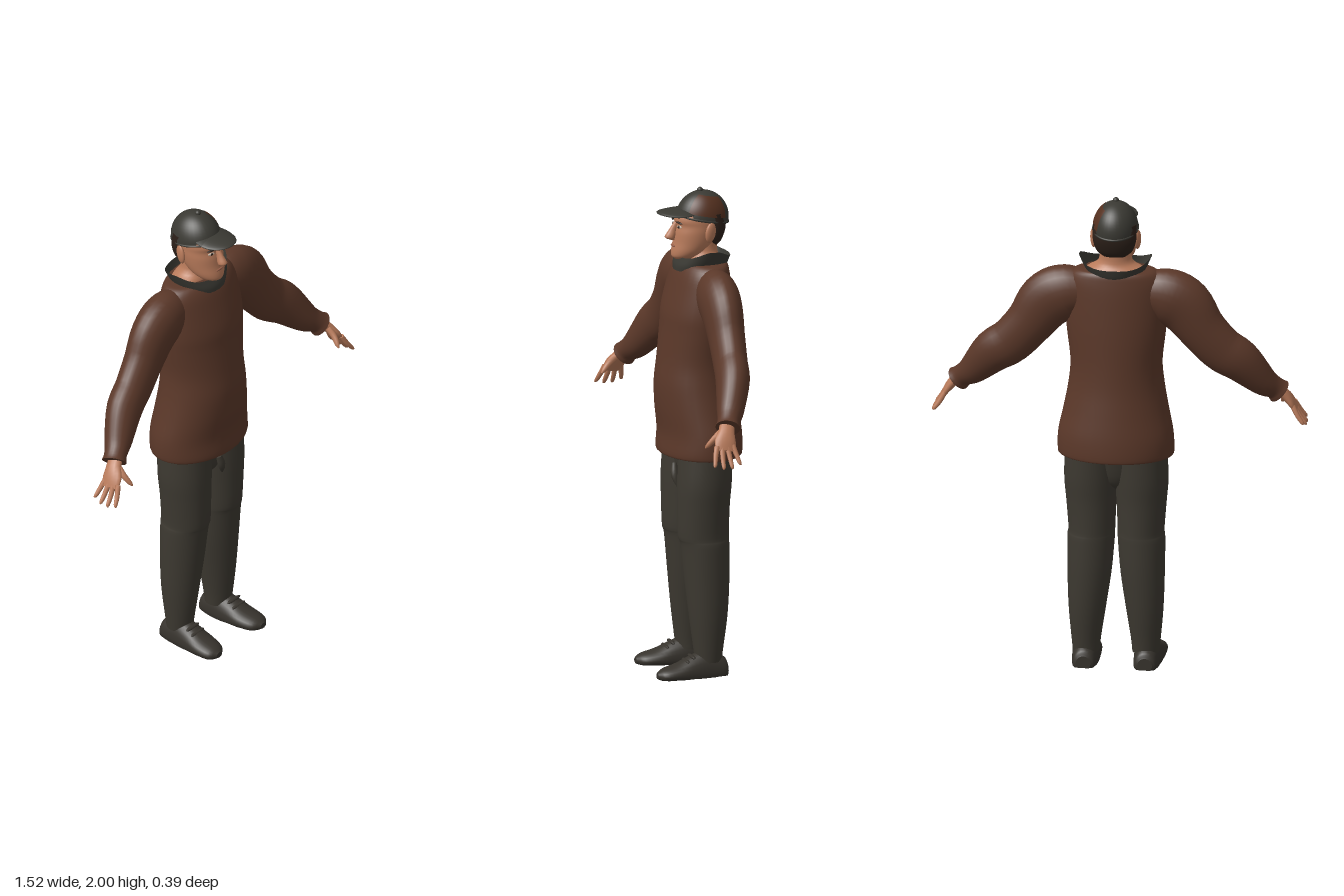
import * as THREE from 'three';

const mat = (name, color, side = THREE.FrontSide) => {
  const m = new THREE.MeshStandardMaterial({ color, side });
  m.name = name;
  return m;
};

// Smooth skin through rings [x, y, z, ru, rv]; dir fixes the ring plane, ref is the rv axis
function loft(rings, { dir = null, ref = [0, 0, 1], seg = 24, sub = 4, caps = true } = {}) {
  const centre = new THREE.CatmullRomCurve3(rings.map(r => new THREE.Vector3(r[0], r[1], r[2])), false, 'catmullrom');
  const radii = new THREE.CatmullRomCurve3(rings.map(r => new THREE.Vector3(r[3], r[4], 0)), false, 'catmullrom');
  const n = (rings.length - 1) * sub, pos = [], idx = [];
  for (let i = 0; i <= n; i++) {
    const c = centre.getPoint(i / n), r = radii.getPoint(i / n);
    const t = dir ? new THREE.Vector3(...dir) : centre.getTangent(i / n);
    const v = new THREE.Vector3(...ref);
    v.addScaledVector(t, -v.dot(t)).normalize();
    const u = new THREE.Vector3().crossVectors(t, v);
    for (let j = 0; j < seg; j++) {
      const a = j / seg * Math.PI * 2;
      const p = c.clone().addScaledVector(u, r.x * Math.cos(a)).addScaledVector(v, r.y * Math.sin(a));
      pos.push(p.x, p.y, p.z);
      if (i < n) {
        const k = i * seg, j2 = (j + 1) % seg;
        idx.push(k + j, k + seg + j, k + j2, k + seg + j, k + seg + j2, k + j2);
      }
    }
  }
  if (caps) for (const end of [0, 1]) {
    const base = pos.length / 3, c = centre.getPoint(end);
    for (let j = 0; j < seg; j++) {
      const q = (end * n * seg + j) * 3;
      pos.push(pos[q], pos[q + 1], pos[q + 2]);
    }
    pos.push(c.x, c.y, c.z);
    for (let j = 0; j < seg; j++) {
      const a = base + j, b = base + (j + 1) % seg;
      idx.push(base + seg, end ? b : a, end ? a : b);
    }
  }
  const g = new THREE.BufferGeometry();
  g.setAttribute('position', new THREE.Float32BufferAttribute(pos, 3));
  g.setIndex(idx);
  g.computeVertexNormals();
  return g;
}

// Upright body from rows [y, half width, front z, back z]
const upright = (rows, opt = {}) => loft(
  rows.map(([y, w, f, b]) => [0, y, (f + b) / 2, w, (f - b) / 2]), { dir: [0, 1, 0], seg: 32, ...opt });

function reshape(g, rule) {
  const p = g.attributes.position, v = new THREE.Vector3();
  for (let i = 0; i < p.count; i++) {
    rule(v.fromBufferAttribute(p, i));
    p.setXYZ(i, v.x, v.y, v.z);
  }
  g.computeVertexNormals();
  return g;
}

export function createModel() {
  const group = new THREE.Group();
  const coat = mat('brown wool', 0x5b3829);
  const trouser = mat('dark trouser cloth', 0x3d3931);
  const leather = mat('dark leather', 0x37332d);
  const skin = mat('skin', 0xb97b5b);
  const dark = mat('cap cloth', 0x3a3933, THREE.DoubleSide);
  const panel = mat('cap side brown', 0x54301f);
  const hairMat = mat('hair', 0x2c2019);
  const lipMat = mat('lips', 0x99604a);
  const white = mat('eye white', 0xc9b9a8);

  const add = (name, geo, material, p = [0, 0, 0], s = [1, 1, 1], r = [0, 0, 0]) => {
    const m = new THREE.Mesh(geo, material);
    m.name = name;
    m.position.set(...p);
    m.scale.set(...s);
    m.rotation.set(...r);
    group.add(m);
    return m;
  };
  const ball = new THREE.SphereGeometry(1, 20, 14);

  // Sweater body with a slightly recessed hem
  add('sweaterBody', upright([
    [0.93, 0.205, 0.11, -0.155], [0.908, 0.228, 0.135, -0.185], [0.925, 0.237, 0.142, -0.193],
    [1.0, 0.234, 0.138, -0.19], [1.1, 0.213, 0.15, -0.178], [1.2, 0.195, 0.154, -0.166],
    [1.3, 0.187, 0.143, -0.16], [1.42, 0.2, 0.13, -0.156], [1.5, 0.207, 0.122, -0.152],
    [1.6, 0.205, 0.095, -0.145], [1.66, 0.195, 0.075, -0.138], [1.695, 0.165, 0.055, -0.13],
    [1.703, 0.11, 0.04, -0.11],
  ]), coat);

  // Standing collar, pulled up at both sides
  add('collar', reshape(upright([
    [1.665, 0.11, 0.08, -0.125], [1.69, 0.128, 0.078, -0.138], [1.722, 0.148, 0.066, -0.148],
  ], { caps: false }), v => { v.y += 0.036 * Math.min(1, Math.abs(v.x) / 0.145) ** 4; }), dark);

  // Trouser seat and fly
  add('trouserSeat', upright([[0.75, 0.03, 0.01, -0.04], [0.8, 0.09, 0.06, -0.09], [0.93, 0.12, 0.08, -0.12]]), trouser);
  add('fly', loft([[0.03, 0.765, 0.07, 0.004, 0.006], [0.015, 0.81, 0.082, 0.016, 0.015],
    [0, 0.86, 0.08, 0.012, 0.012]], { seg: 10 }), trouser);

  for (const [side, s] of [['left', 1], ['right', -1]]) {
    // Sleeve with a flared cuff
    add(side + 'Sleeve', loft([
      [0.13, 1.6, -0.035, 0.09, 0.07], [0.21, 1.588, -0.033, 0.114, 0.083], [0.28, 1.545, -0.03, 0.117, 0.08],
      [0.35, 1.45, -0.026, 0.099, 0.072], [0.425, 1.365, -0.016, 0.094, 0.068], [0.5, 1.31, 0, 0.088, 0.068],
      [0.585, 1.217, 0.038, 0.062, 0.056], [0.632, 1.18, 0.062, 0.046, 0.046], [0.652, 1.16, 0.072, 0.052, 0.05],
    ].map(([x, ...q]) => [x * s, ...q])), coat);

    // Hand: palm, four fingers and thumb
    const limb = (name, rows, seg) => add(side + name, loft(rows.map(([x, ...q]) => [x * s, ...q]), { seg, sub: 3 }), skin);
    limb('Palm', [[0.635, 1.18, 0.07, 0.02, 0.03], [0.668, 1.15, 0.083, 0.021, 0.033],
      [0.695, 1.115, 0.097, 0.017, 0.044], [0.716, 1.08, 0.102, 0.01, 0.04]], 16);
    for (let k = 0; k < 4; k++) {
      const z = 0.07 + k * 0.022, spread = (k - 1.3) * 0.008, len = [0.85, 1, 1, 0.88][k];
      limb('Finger' + (k + 1), [[0.706, 1.1, z, 0.011, 0.012], [0.706 + 0.025 * len, 1.1 - 0.045 * len, z + spread, 0.01, 0.01],
        [0.706 + 0.047 * len, 1.1 - 0.075 * len, z + spread * 1.6, 0.008, 0.008],
        [0.706 + 0.054 * len, 1.1 - 0.084 * len, z + spread * 2, 0.003, 0.003]], 8);
    }
    limb('Thumb', [[0.662, 1.15, 0.1, 0.013, 0.016], [0.664, 1.122, 0.132, 0.012, 0.014],
      [0.656, 1.095, 0.157, 0.009, 0.01], [0.652, 1.083, 0.168, 0.003, 0.003]], 10);

    // Trouser leg rows: y, outer x, inner x, front z, back z
    add(side + 'TrouserLeg', loft([
      [0.06, 0.176, 0.066, 0.03, -0.078], [0.12, 0.182, 0.06, 0.038, -0.086], [0.25, 0.193, 0.04, 0.054, -0.104],
      [0.4, 0.198, 0.018, 0.07, -0.114], [0.54, 0.199, 0.006, 0.084, -0.115], [0.58, 0.195, 0.005, 0.094, -0.114],
      [0.7, 0.204, 0.0, 0.097, -0.117], [0.8, 0.212, -0.006, 0.097, -0.125], [0.93, 0.208, -0.01, 0.09, -0.13],
    ].map(([y, o, i, f, b]) => [s * (o + i) / 2, y, (f + b) / 2, (o - i) / 2, (f - b) / 2]), { dir: [0, 1, 0] }), trouser);

    // Shoe, flattened on the ground
    add(side + 'Shoe', reshape(loft([
      [0.125, 0.02, -0.1, 0.03, 0.03], [0.125, 0.02, -0.085, 0.046, 0.055], [0.125, 0.02, -0.02, 0.054, 0.085],
      [0.128, 0.02, 0.045, 0.058, 0.07], [0.132, 0.02, 0.11, 0.06, 0.04], [0.137, 0.015, 0.17, 0.048, 0.028],
      [0.139, 0.015, 0.198, 0.016, 0.012],
    ].map(([x, ...q]) => [x * s, ...q]), { dir: [0, 0, 1], ref: [0, 1, 0] }), v => { v.y = Math.max(0, v.y); }), leather);
    for (const [y, z] of [[0.083, 0.05], [0.068, 0.075]])
      add(side + 'ShoeStrap', ball, leather, [0.13 * s, y, z], [0.04, 0.008, 0.01]);

    // Ear, eye and brow
    add(side + 'Ear', ball, skin, [0.09 * s, 1.828, -0.045], [0.012, 0.042, 0.024], [-0.15, 0.3 * s, 0]);
    add(side + 'EyeWhite', ball, white, [0.036 * s, 1.848, 0.07], [0.015, 0.006, 0.004], [0, 0.35 * s, 0]);
    add(side + 'Iris', ball, hairMat, [0.036 * s, 1.848, 0.073], [0.006, 0.006, 0.003], [0, 0.35 * s, 0]);
    add(side + 'Brow', ball, hairMat, [0.038 * s, 1.866, 0.072], [0.02, 0.004, 0.005], [0, 0.4 * s, -0.1 * s]);
  }

  // Neck and head
  add('neck', upright([[1.68, 0.138, 0.03, -0.125], [1.705, 0.118, 0.025, -0.115],
    [1.735, 0.07, 0.02, -0.1], [1.8, 0.062, 0.02, -0.1]]), skin);
  add('head', upright([
    [1.71, 0.028, 0.078, 0.0], [1.722, 0.05, 0.09, -0.02], [1.745, 0.068, 0.09, -0.06], [1.78, 0.079, 0.083, -0.09],
    [1.82, 0.085, 0.079, -0.105], [1.85, 0.086, 0.073, -0.115], [1.875, 0.086, 0.077, -0.12],
    [1.91, 0.08, 0.06, -0.11], [1.95, 0.05, 0.02, -0.08],
  ]), skin);
  add('nose', loft([[0, 1.79, 0.088, 0.012, 0.009], [0, 1.802, 0.098, 0.018, 0.022],
    [0, 1.83, 0.085, 0.012, 0.018], [0, 1.862, 0.07, 0.009, 0.011]], { dir: [0, 1, 0], seg: 14 }), skin);
  add('mouth', ball, lipMat, [0, 1.765, 0.086], [0.024, 0.005, 0.004]);
  add('hair', upright([[1.765, 0.045, -0.06, -0.1], [1.79, 0.074, -0.035, -0.117],
    [1.84, 0.089, -0.02, -0.132], [1.9, 0.088, 0.01, -0.132]]), hairMat);

  // Cap: tilted dome, side panel, button and visor
  const dome = [0.092, 0.113, 0.109], at = [0, 1.873, -0.039], tilt = [-0.18, 0, 0];
  add('capDome', new THREE.SphereGeometry(1, 32, 14, 0, Math.PI * 2, 0, Math.PI / 2), dark, at, dome, tilt);
  add('capSidePanel', new THREE.SphereGeometry(1.012, 16, 10, Math.PI - 0.85, 1.6, 0.55, 0.85), panel, at, dome, tilt);
  add('capBand', new THREE.TorusGeometry(1, 0.045, 8, 32).rotateX(Math.PI / 2), dark, at, [0.091, 0.11, 0.108], tilt);
  add('capButton', ball, dark, [0, 1.987, -0.03], [0.012, 0.012, 0.012]);
  add('visor', reshape(ball.clone(), v => { v.y -= 0.9 * v.x * v.x; }), dark, [0, 1.908, 0.055], [0.08, 0.012, 0.098], [0.04, 0, 0]);

  return group;
}
